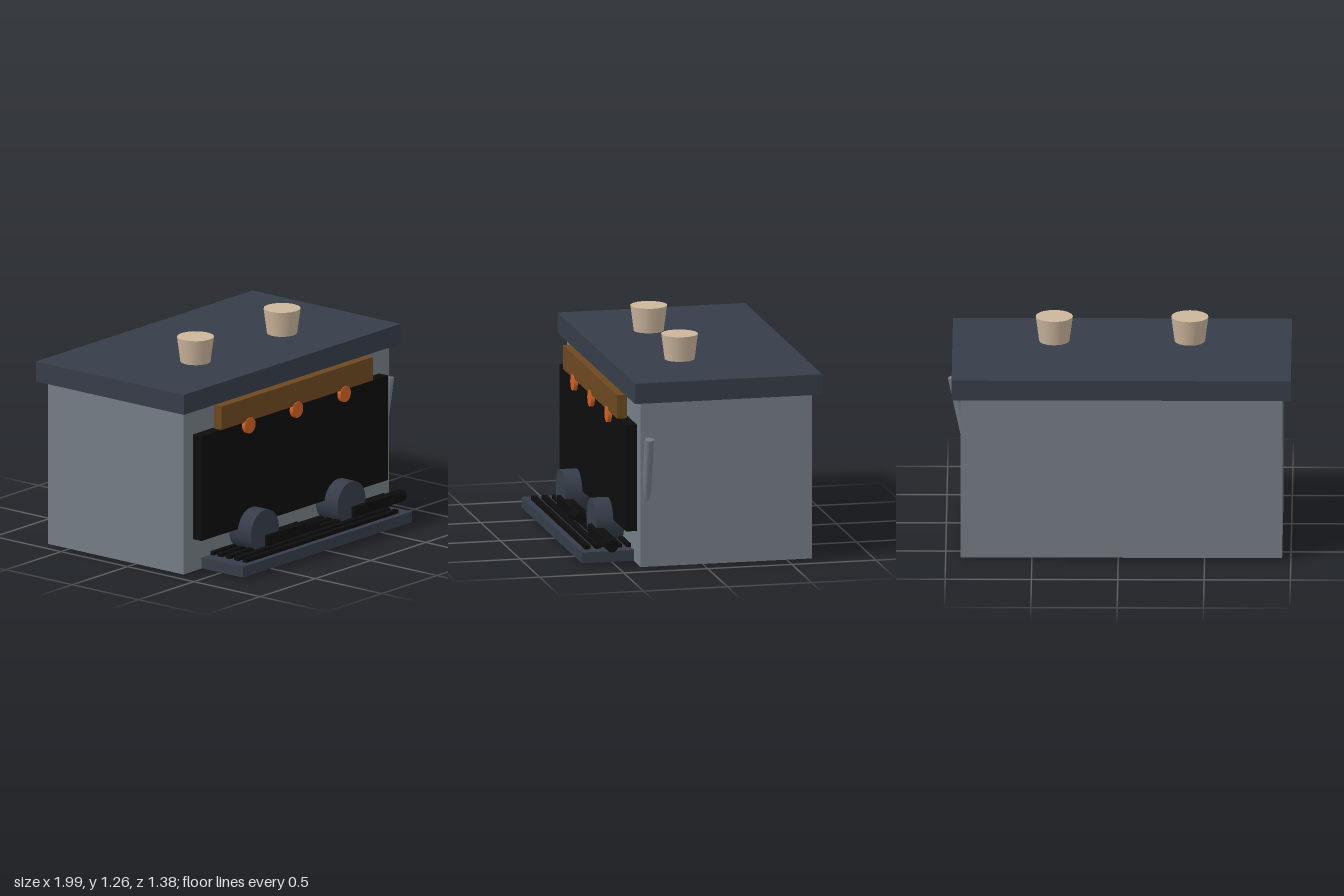
import * as THREE from 'three';

const mat = (name, color) => {
  const m = new THREE.MeshStandardMaterial({ color });
  m.name = name;
  return m;
};

export function createModel() {
  const model = new THREE.Group();
  model.name = 'stove';

  const grey = mat('body grey', 0x757d85);
  const slate = mat('dark slate', 0x363d49);
  const black = mat('black iron', 0x0d0d0d);
  const brown = mat('brown wood', 0x6c4820);
  const orange = mat('orange', 0xd06022);
  const tan = mat('tan', 0xcbb59c);
  const steel = mat('steel', 0x737a84);

  const add = (name, geometry, material) => {
    const mesh = new THREE.Mesh(geometry, material);
    mesh.name = name;
    model.add(mesh);
    return mesh;
  };

  // Box given by its limits on each axis
  const box = (name, material, [x0, x1], [y0, y1], [z0, z1]) => {
    const mesh = add(name, new THREE.BoxGeometry(x1 - x0, y1 - y0, z1 - z0), material);
    mesh.position.set((x0 + x1) / 2, (y0 + y1) / 2, (z0 + z1) / 2);
    return mesh;
  };

  // Cylinder centred at a point, along x, y or z
  const cylinder = (name, material, rTop, rBottom, length, sides, pos, axis = 'y') => {
    const geometry = new THREE.CylinderGeometry(rTop, rBottom, length, sides);
    if (axis === 'x') geometry.rotateZ(-Math.PI / 2);
    if (axis === 'z') geometry.rotateX(Math.PI / 2);
    const mesh = add(name, geometry, material);
    mesh.position.set(...pos);
    return mesh;
  };

  // Cabinet, lid and front panel
  box('body', grey, [-0.95, 0.915], [0.01, 0.99], [-0.64, 0.38]);
  box('lid', slate, [-1, 0.965], [0.99, 1.11], [-0.69, 0.425]);
  box('frontPanel', black, [-0.865, 0.825], [0.205, 0.835], [0.375, 0.445]);
  box('woodRail', brown, [-0.705, 0.67], [0.842, 0.982], [0.405, 0.463]);

  // Round knobs below the rail
  for (const x of [-0.45, -0.018, 0.415]) {
    cylinder('knob', orange, 0.048, 0.048, 0.05, 16, [x, 0.815, 0.443], 'z');
  }

  // Drip tray with grate bars
  box('tray', slate, [-0.785, 0.75], [0.012, 0.076], [0.37, 0.69]);
  for (let i = 0; i < 5; i++) {
    const z = 0.637 - i * 0.0625;
    box('grateBar', black, [-0.705, 0.67], [0.07, 0.098], [z - 0.017, z + 0.017]);
  }

  // Two stations: cup on the lid, brewing head, handle and foot
  for (const x of [-0.41, 0.375]) {
    cylinder('cup', tan, 0.108, 0.088, 0.15, 16, [x, 1.187, 0.022]);
    cylinder('head', slate, 0.127, 0.127, 0.165, 20, [x, 0.185, 0.4625], 'z');
    box('handleShaft', black, [x, x + 0.34], [0.094, 0.16], [0.5, 0.567]);
    cylinder('handleGrip', black, 0.037, 0.037, 0.2, 12, [x + 0.37, 0.126, 0.533], 'x');
    cylinder('foot', tan, 0.068, 0.068, 0.02, 16, [x, 0.01, 0.457]);
  }

  // Slanted lever on the side
  const lever = cylinder('sideLever', steel, 0.027, 0.027, 0.45, 16, [0.921, 0.556, 0.34]);
  lever.rotation.z = -0.21;

  return model;
}
